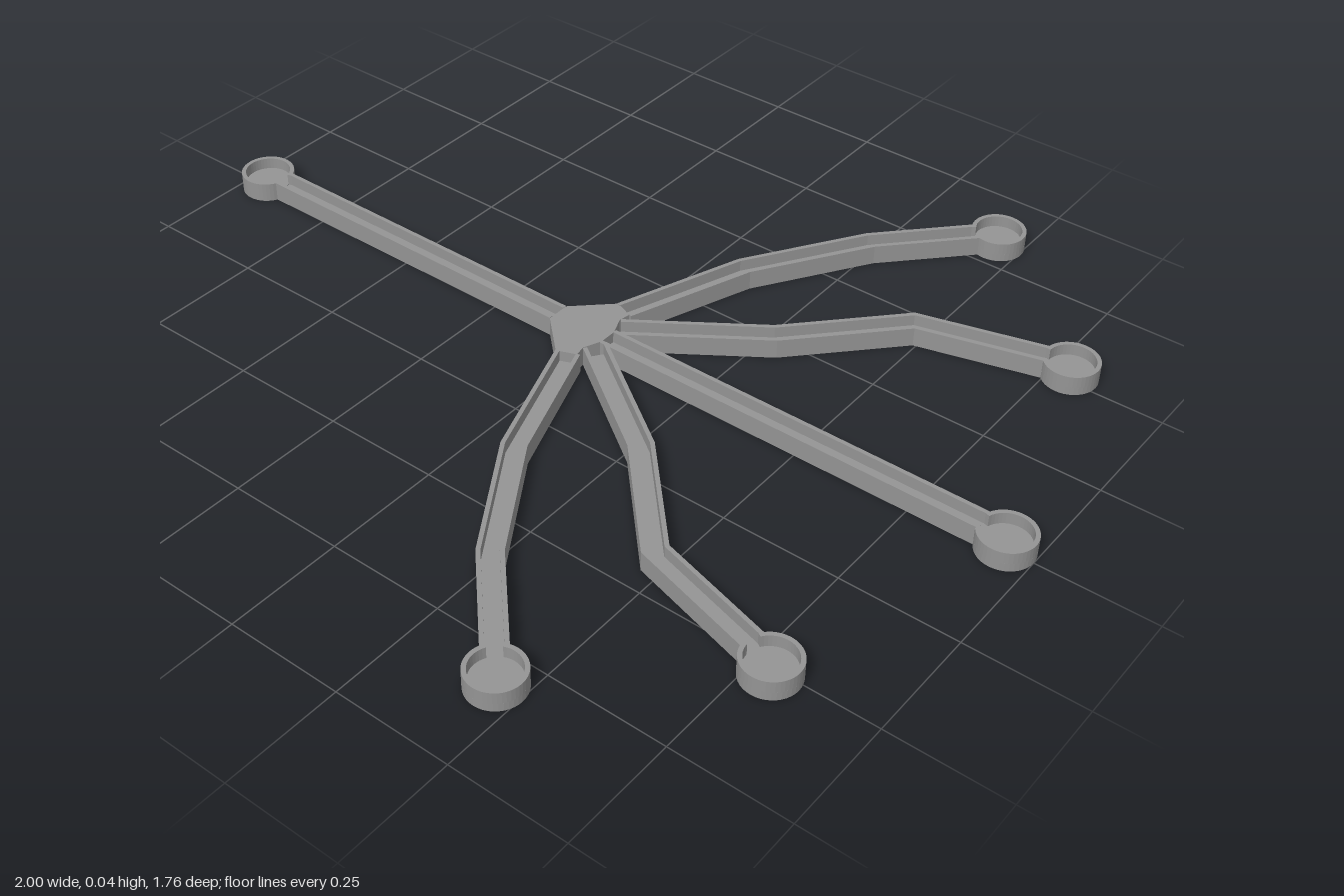
import * as THREE from 'three';

const H = 0.043, FLOOR = 0.018;        // total height, floor level
const HALF = 0.026, WALL = 0.009;      // channel half width, wall thickness
const WELL_R = 0.058;

const material = new THREE.MeshStandardMaterial({ color: 0x949494 });
const sheetMaterial = new THREE.MeshStandardMaterial({ color: 0x949494, side: THREE.DoubleSide });
const v = (x, z) => new THREE.Vector2(x, z);

// Raise a plan outline (x, z) from y0 to y1; equal heights give a thin sheet
function slab(name, points, y0, y1) {
  const shape = new THREE.Shape(points.map(p => v(p.x, -p.y)));
  const solid = y1 > y0;
  const geometry = solid
    ? new THREE.ExtrudeGeometry(shape, { depth: y1 - y0, bevelEnabled: false })
    : new THREE.ShapeGeometry(shape);
  geometry.rotateX(-Math.PI / 2).translate(0, y0, 0);
  const mesh = new THREE.Mesh(geometry, solid ? material : sheetMaterial);
  mesh.name = name;
  return mesh;
}

// Offset a polyline sideways with mitred corners
function offset(path, d) {
  const normal = (a, b) => {
    const t = b.clone().sub(a).normalize();
    return v(-t.y, t.x);
  };
  const last = path.length - 1;
  return path.map((p, i) => {
    const n0 = normal(path[Math.max(i - 1, 0)], path[Math.max(i, 1)]);
    const n1 = normal(path[Math.min(i, last - 1)], path[Math.min(i + 1, last)]);
    const m = n0.clone().add(n1).normalize();
    return p.clone().addScaledVector(m, d / m.dot(n0));
  });
}
const strip = (path, a, b) => [...offset(path, a), ...offset(path, b).reverse()];

function arc(c, r, a0, a1, n = 40) {
  return Array.from({ length: n + 1 }, (_, i) => {
    const a = a0 + (a1 - a0) * i / n;
    return v(c.x + r * Math.cos(a), c.y + r * Math.sin(a));
  });
}

// Open channel along a path, ending in a round well whose wall opens to it
function channel(name, coords, openBelow = false) {
  const group = new THREE.Group();
  group.name = name;
  const path = coords.map(c => v(...c));
  const end = path[path.length - 1], prev = path[path.length - 2];
  const back = prev.clone().sub(end).normalize();
  const run = [...path.slice(0, -1), end.clone().addScaledVector(back, WELL_R - WALL)];
  const inner = HALF - WALL, base = openBelow ? 0 : FLOOR;
  const floorBottom = openBelow ? FLOOR : 0;

  // An open underside leaves only a thin floor between full-height walls
  const floorHalf = openBelow ? inner : HALF;
  group.add(slab('channelFloor', strip(run, -floorHalf, floorHalf), floorBottom, FLOOR));
  for (const s of [-1, 1])
    group.add(slab('channelWall', strip(run, s * inner, s * HALF), base, H));

  // Well
  const angle = Math.atan2(back.y, back.x), gap = Math.asin(inner / WELL_R);
  const a0 = angle + gap, a1 = angle + Math.PI * 2 - gap;
  const floorR = openBelow ? WELL_R - WALL : WELL_R;
  group.add(slab('wellFloor', arc(end, floorR, 0, Math.PI * 2).slice(0, -1), floorBottom, FLOOR));
  group.add(slab('wellWall',
    [...arc(end, WELL_R, a0, a1), ...arc(end, WELL_R - WALL, a1, a0)], base, H));
  return group;
}

export function createModel() {
  const model = new THREE.Group();
  model.name = 'branchingChannels';

  // Straight inlet and middle outlet
  model.add(channel('inlet', [[-0.1, 0], [-0.942, 0]], true));
  model.add(channel('middleBranch', [[0.03, 0], [0.942, 0]]));

  // Hub block joining the channels, a hair below their rims
  const half = [[-0.1, 0.026], [-0.023, 0.1], [0.018, 0.084], [0.014, 0.058], [0.03, 0.02]];
  model.add(slab('hub', [
    ...half.map(([x, z]) => v(x, z)),
    ...half.map(([x, z]) => v(x, -z)).reverse(),
  ], 0, H - 0.001));

  // Mirrored bent branches
  for (const s of [-1, 1]) {
    const flip = pts => pts.map(([x, z]) => [x, s * z]);
    const side = s > 0 ? 'front' : 'back';
    model.add(channel(side + 'OuterBranch',
      flip([[0, 0.09], [0.1, 0.37], [0.255, 0.615], [0.448, 0.822]])));
    model.add(channel(side + 'InnerBranch',
      flip([[0.03, 0.04], [0.285, 0.22], [0.48, 0.43], [0.79, 0.515]])));
  }
  return model;
}
